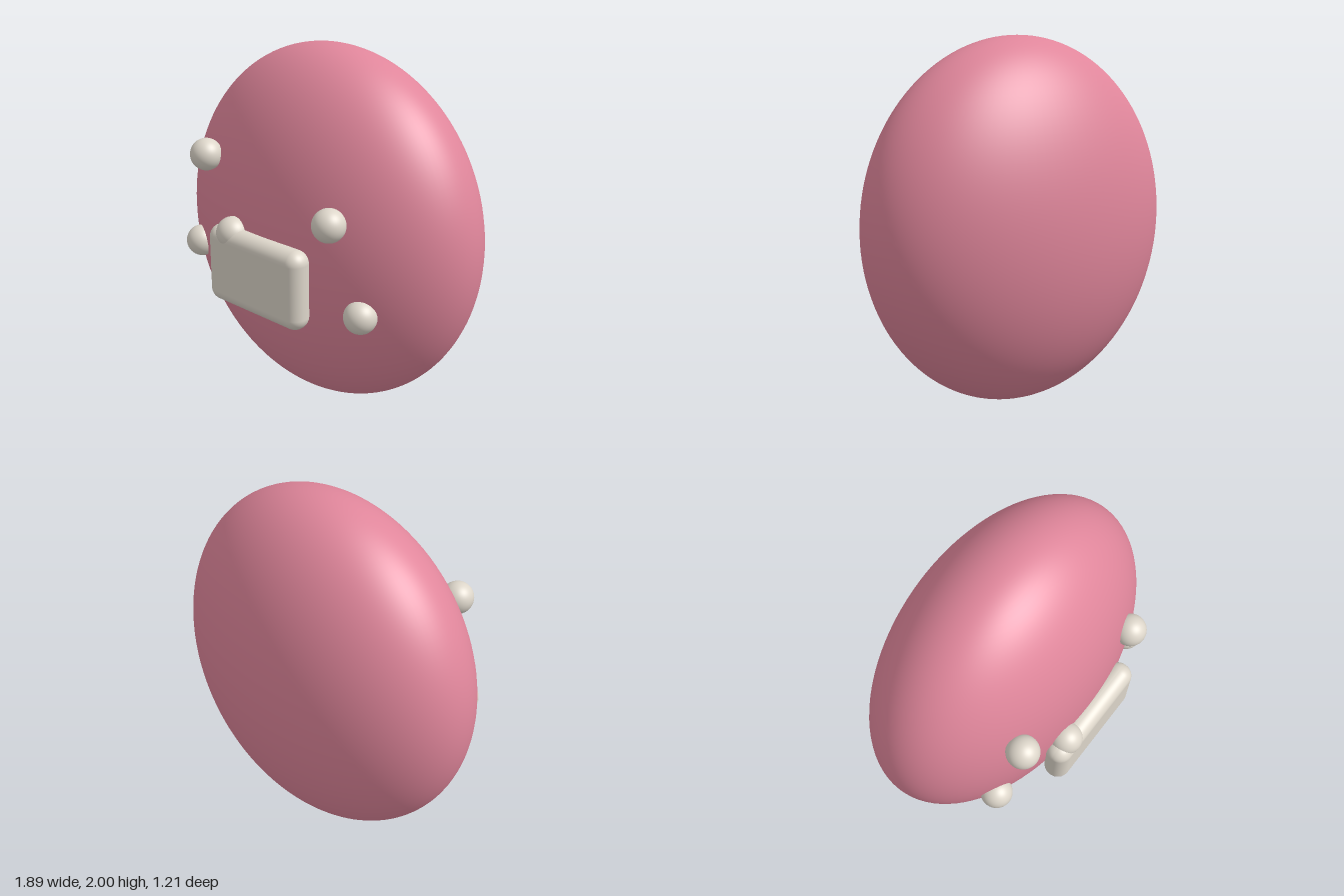
import * as THREE from 'three';
import { RoundedBoxGeometry } from 'three/addons/geometries/RoundedBoxGeometry.js';

export function createModel() {
  const group = new THREE.Group();
  const pink = new THREE.MeshStandardMaterial({ color: 0xe0869b });
  pink.name = 'rose pink';
  const cream = new THREE.MeshStandardMaterial({ color: 0xddd6ca });
  cream.name = 'warm cream';

  const add = (name, geometry, material, x, y, z) => {
    const mesh = new THREE.Mesh(geometry, material);
    mesh.name = name;
    mesh.position.set(x, y, z);
    group.add(mesh);
    return mesh;
  };

  // Flattened ellipsoid body
  const body = new THREE.SphereGeometry(1, 96, 64);
  body.scale(0.946, 0.998, 0.556);
  add('body', body, pink, 0, 1.002, -0.046);

  // Rounded plate set into the front
  add('frontPlate', new RoundedBoxGeometry(0.674, 0.436, 0.145, 8, 0.07), cream, 0, 0.864, 0.524);

  // Small round knobs scattered around the plate
  const knob = new THREE.SphereGeometry(0.088, 40, 28);
  [
    ['upperRightKnob', -0.48, 1.402, 0.437],
    ['upperLeftKnob', 0.437, 1.242, 0.455],
    ['lowerRightKnob', -0.622, 0.843, 0.372],
    ['lowerLeftKnob', 0.582, 0.763, 0.377],
    ['plateKnob', -0.2, 1.047, 0.517],
  ].forEach(([name, x, y, z]) => add(name, knob, cream, x, y, z));

  return group;
}
